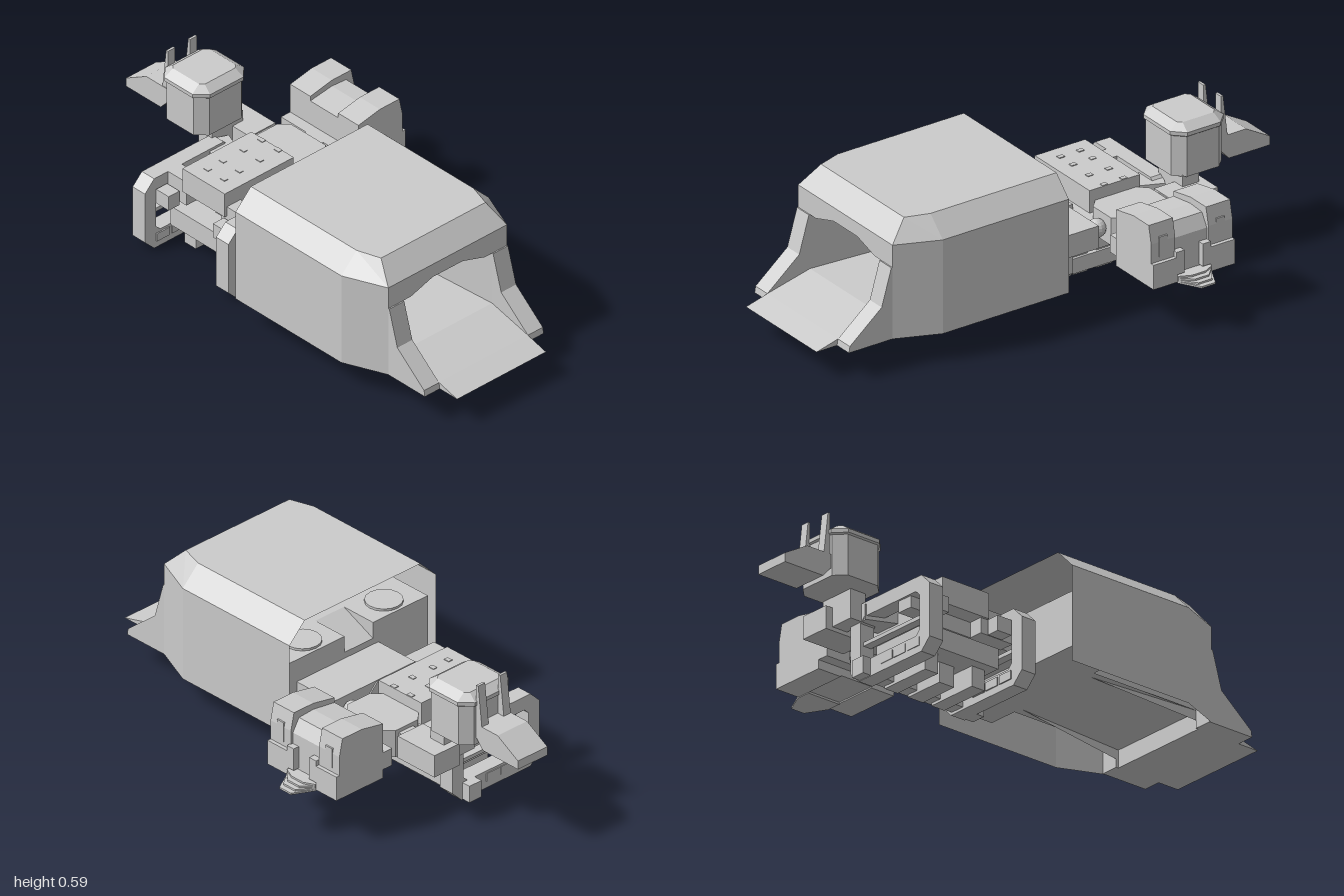
import * as THREE from 'three';

const CX = -0.18; // centre line of the hangar
const mat = new THREE.MeshStandardMaterial({ color: 0xcccccc, flatShading: true });
const thin = new THREE.MeshStandardMaterial({ color: 0xcccccc, flatShading: true, side: THREE.DoubleSide });

export function createModel() {
  const root = new THREE.Group();
  const add = (parent, name, geo, material = mat) => {
    const m = new THREE.Mesh(geo, material);
    m.name = name;
    parent.add(m);
    return m;
  };
  const group = (name) => {
    const g = new THREE.Group();
    g.name = name;
    root.add(g);
    return g;
  };
  // box given by its limits on each axis, in either order
  const box = (parent, name, x0, x1, y0, y1, z0, z1) => {
    const m = add(parent, name, new THREE.BoxGeometry(Math.abs(x1 - x0), Math.abs(y1 - y0), Math.abs(z1 - z0)));
    m.position.set((x0 + x1) / 2, (y0 + y1) / 2, (z0 + z1) / 2);
    return m;
  };
  const shape = (pts) => new THREE.Shape(pts.map((p) => new THREE.Vector2(...p)));
  const extrude = (s, depth) => new THREE.ExtrudeGeometry(s, { depth, bevelEnabled: false });
  // (z, y) profile pushed along x from x0 to x1
  const sideExtrude = (parent, name, pts, x0, x1) => {
    const m = add(parent, name, extrude(shape(pts.map(([z, y]) => [-z, y])), x1 - x0));
    m.rotation.y = Math.PI / 2;
    m.position.x = x0;
    return m;
  };
  // skin stretched between rows of points
  const loft = (parent, name, rows, closed = false) => {
    const pos = [], idx = [], n = rows[0].length;
    rows.forEach((r) => r.forEach((p) => pos.push(...p)));
    for (let i = 0; i < rows.length - 1; i++) {
      for (let j = 0; j < (closed ? n : n - 1); j++) {
        const a = i * n + j, b = i * n + ((j + 1) % n);
        idx.push(a, b, b + n, a, b + n, a + n);
      }
    }
    const g = new THREE.BufferGeometry();
    g.setAttribute('position', new THREE.Float32BufferAttribute(pos, 3));
    g.setIndex(idx);
    g.computeVertexNormals();
    return add(parent, name, g, thin);
  };
  // rectangle with cut corners
  const octagon = (x0, x1, y0, y1, c) => [[x0 + c, y0], [x1 - c, y0], [x1, y0 + c], [x1, y1 - c],
    [x1 - c, y1], [x0 + c, y1], [x0, y1 - c], [x0, y0 + c]];

  // ---- hangar, open at the rear and underneath ----
  const hangar = group('hangar');
  const rib = (half) => [...half.map(([h, y, z]) => [CX + h, y, z]),
    ...half.slice().reverse().map(([h, y, z]) => [CX - h, y, z])];
  loft(hangar, 'hangarShell', [
    rib([[0.36, 0.12, 0], [0.36, 0.495, 0], [0.285, 0.57, 0]]),
    rib([[0.36, 0.12, 0.55], [0.36, 0.495, 0.55], [0.285, 0.57, 0.55]]),
    rib([[0.29, 0.12, 0.72], [0.29, 0.495, 0.72], [0.255, 0.57, 0.645]]),
  ]);
  loft(hangar, 'roofFront', [rib([[0.255, 0.57, 0.645]]), rib([[0.29, 0.495, 0.72]])]);
  const lintel = add(hangar, 'mouthLintel', new THREE.ShapeGeometry(shape([
    [-0.29, 0.406], [-0.18, 0.406], [-0.073, 0.44], [0.073, 0.44], [0.18, 0.406],
    [0.29, 0.406], [0.29, 0.495], [-0.29, 0.495]])), thin);
  lintel.position.set(CX, 0, 0.72);
  loft(hangar, 'mouthCeiling', [
    [-0.18, -0.073, 0.073, 0.18].map((h, i) => [CX + h, i % 3 ? 0.44 : 0.406, 0.72]),
    [-0.18, -0.073, 0.073, 0.18].map((h) => [CX + h, 0.406, 0.24]),
  ]);
  sideExtrude(hangar, 'ramp', [[1, 0.12], [0.906, 0.145], [0.72, 0.19], [0.72, 0.12]], CX - 0.217, CX + 0.217);
  loft(hangar, 'tunnelFloor', [rib([[0.217, 0.19, 0.72]]), rib([[0.217, 0.19, 0.2]])]);
  for (const s of [-1, 1]) {
    const a = CX + s * 0.217, b = CX + s * 0.29;
    sideExtrude(hangar, 'mouthCheek', [[0.71, 0.12], [0.91, 0.12], [0.906, 0.145], [0.767, 0.26], [0.725, 0.406], [0.71, 0.406]],
      Math.min(a, b), Math.max(a, b));
    loft(hangar, 'tunnelWall', [
      [[a, 0.15, 0.72], [a, 0.406, 0.72]], [[CX + s * 0.183, 0.19, 0.24], [CX + s * 0.183, 0.406, 0.24]]]);
    // cargo blocks inside, with round covers
    box(hangar, 'cargoBlock', CX + s * 0.07, CX + s * 0.34, 0.19, 0.406, 0.02, 0.23);
    const disc = add(hangar, 'cargoCover', new THREE.CylinderGeometry(0.07, 0.07, 0.01, 16));
    disc.position.set(CX + s * 0.2, 0.41, 0.1);
  }
  // sloping bridge between the blocks
  sideExtrude(hangar, 'cargoCentre', [[0.02, 0.19], [0.21, 0.19], [0.21, 0.406], [0.17, 0.406], [0.02, 0.34]], CX - 0.07, CX + 0.07);

  // ---- core: deck, node and connecting arms ----
  const core = group('core');
  box(core, 'rearTruss', -0.277, 0.125, 0.225, 0.315, -0.17, 0.03);
  box(core, 'trussStep', -0.2, -0.09, 0.225, 0.3, -0.21, -0.01);
  box(core, 'sideArm', 0, 0.125, 0.225, 0.315, -0.69, -0.5);
  box(core, 'armLink', 0.03, 0.1, 0.23, 0.31, -0.5, -0.47);
  box(core, 'deck', -0.367, -0.03, 0.27, 0.37, -0.46, -0.24);
  box(core, 'deckUnderside', -0.3, 0.03, 0.21, 0.28, -0.5, -0.2);
  for (const x of [-0.305, -0.23, -0.13, -0.04]) {
    for (const z of [-0.395, -0.31]) box(core, 'deckStud', x - 0.009, x + 0.009, 0.37, 0.373, z - 0.012, z + 0.012);
  }
  const node = add(core, 'node', extrude(shape(octagon(-0.03, 0.15, 0.23, 0.48, 0.035)), 0.11));
  node.rotation.x = -Math.PI / 2;
  node.position.y = 0.215;
  for (const z of [-0.475, -0.205]) {
    const dome = add(core, 'nodeDome', new THREE.SphereGeometry(0.036, 14, 10));
    dome.position.set(0.062, 0.27, z);
  }
  box(core, 'podNeck', 0.14, 0.19, 0.23, 0.3, -0.4, -0.31);
  const brace = box(core, 'towerBrace', -0.16, -0.06, 0.24, 0.3, -0.6, -0.44);
  brace.rotation.y = -0.4;

  // ---- side pod: two towers and a lower middle ----
  const pod = group('sidePod');
  box(pod, 'podFlange', 0.18, 0.226, 0.23, 0.3, -0.53, -0.18);
  const tower = [[0.225, 0.195], [0.455, 0.195], [0.455, 0.293], [0.44, 0.293], [0.44, 0.37], [0.425, 0.44], [0.33, 0.44], [0.225, 0.42]];
  const middle = [[0.225, 0.2], [0.43, 0.2], [0.43, 0.36], [0.4, 0.41], [0.33, 0.415], [0.225, 0.4]];
  for (const z of [-0.53, -0.28]) {
    add(pod, 'podTower', extrude(shape(tower), 0.105)).position.z = z;
    box(pod, 'towerSlat', 0.42, 0.442, 0.31, 0.39, z + 0.035, z + 0.07);
  }
  add(pod, 'podMiddle', extrude(shape(middle), 0.16)).position.z = -0.435;
  for (const z of [-0.425, -0.31]) box(pod, 'podBumper', 0.42, 0.455, 0.225, 0.315, z, z + 0.035);
  // stepped lip
  for (let i = 0; i < 4; i++) {
    const end = 0.54 - i * 0.02, y = 0.192 + i * 0.007;
    const lip = add(pod, 'podLip', extrude(shape([[0.4, 0.28], [0.46, 0.28], [end, 0.325], [end, 0.385], [0.46, 0.425], [0.4, 0.425]]), 0.007));
    lip.rotation.x = -Math.PI / 2;
    lip.position.y = y;
  }

  // ---- control tower at the far end ----
  const tow = group('controlTower');
  const ring = (x0, x1, z0, z1, c, y) => octagon(x0, x1, z0, z1, c).map(([x, z]) => [x, y, z]).reverse();
  const rings = [
    ring(-0.18, 0.058, -0.783, -0.562, 0.04, 0.355), ring(-0.18, 0.058, -0.783, -0.562, 0.04, 0.515),
    ring(-0.187, 0.065, -0.79, -0.555, 0.045, 0.52), ring(-0.187, 0.065, -0.79, -0.555, 0.045, 0.535),
    ring(-0.15, 0.028, -0.755, -0.59, 0.015, 0.56)];
  const centre = (y) => Array(8).fill([-0.061, y, -0.673]);
  loft(tow, 'towerBody', [centre(0.355), ...rings, centre(0.56)], true);
  box(tow, 'towerStem', -0.1, 0.05, 0.24, 0.36, -0.66, -0.59);
  sideExtrude(tow, 'towerTail', [[-0.77, 0.44], [-0.895, 0.44], [-1, 0.38], [-1, 0.345], [-0.82, 0.345], [-0.77, 0.4]], -0.135, 0.01);
  for (const x of [-0.132, -0.024]) {
    sideExtrude(tow, 'towerFin', [[-0.785, 0.43], [-0.815, 0.43], [-0.795, 0.602], [-0.785, 0.602]], x, x + 0.034);
  }

  // ---- docking frames hanging below the deck ----
  const dock = group('dockingFrames');
  for (const s of [-1, 1]) {
    const at = (d) => -0.36 + s * d;
    const frame = shape(octagon(-0.47, -0.04, 0.01, 0.31, 0.045));
    frame.holes.push(new THREE.Path(octagon(-0.415, -0.095, 0.08, 0.255, 0.02).map((p) => new THREE.Vector2(...p))));
    add(dock, 'dockingFrame', extrude(frame, 0.064)).position.z = at(0.217) - 0.032;
    for (const x of [-0.415, -0.34, -0.27]) box(dock, 'framePanel', x, x + 0.063, 0.037, 0.07, at(0.18), at(0.252));
    box(dock, 'frameShelf', -0.42, -0.09, 0.15, 0.165, at(0.2), at(0.235));
    box(dock, 'frameFoot', -0.15, -0.09, 0.012, 0.08, at(0.2), at(0.285));
    // struts up to the deck
    box(dock, 'deckStrut', -0.357, -0.29, 0.21, 0.31, at(0.09), at(0.24));
    box(dock, 'strutCap', -0.42, -0.367, 0.205, 0.265, at(0.115), at(0.18));
    box(dock, 'basePost', -0.32, -0.1, 0.01, 0.17, at(0.08), at(0.14));
  }
  box(dock, 'basePlate', -0.36, -0.09, 0.09, 0.17, -0.53, -0.19);
  box(dock, 'baseRail', -0.15, -0.09, 0.02, 0.08, -0.56, -0.16);
  box(dock, 'centrePost', -0.27, -0.1, 0.01, 0.22, -0.39, -0.32);
  return root;
}
